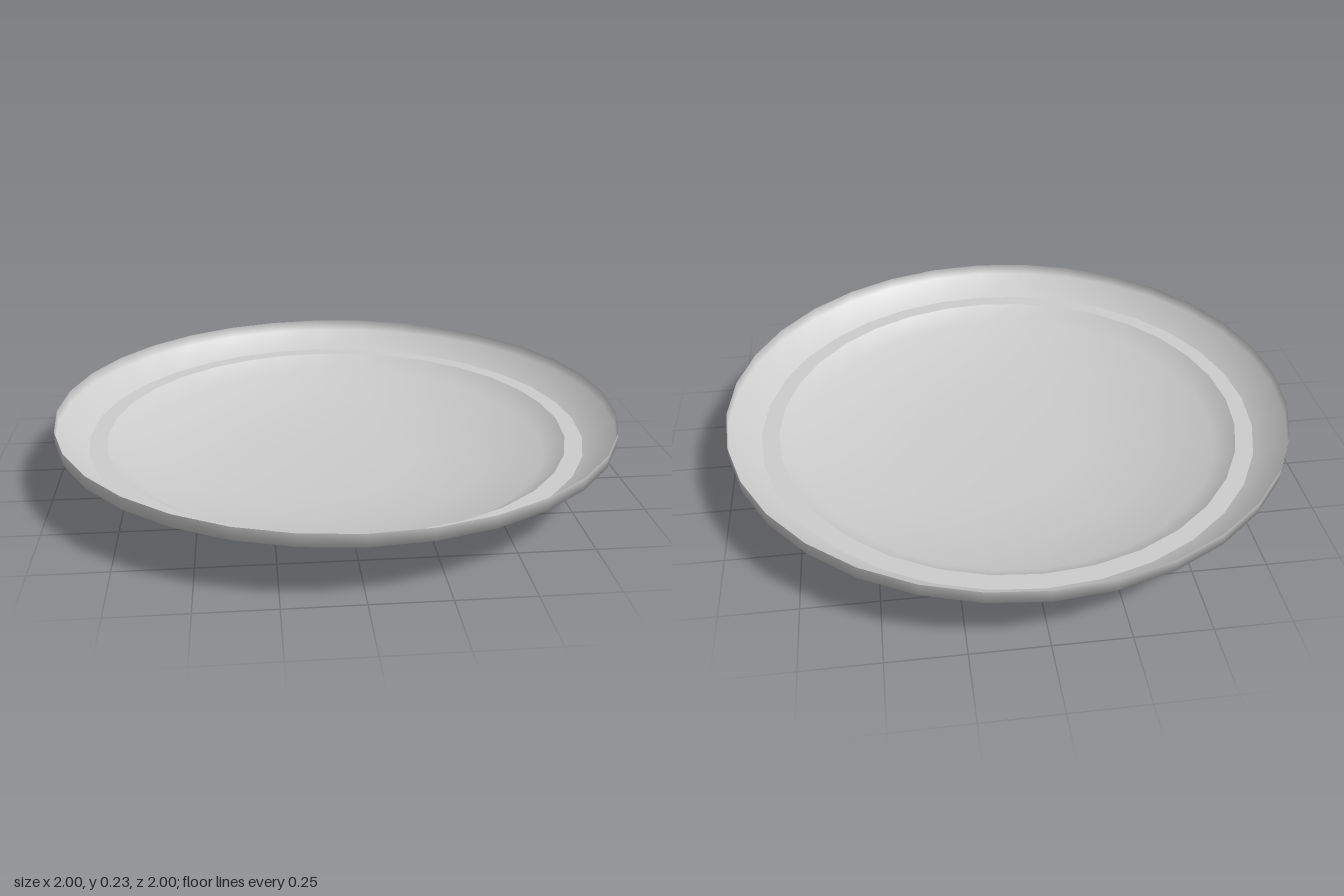
import * as THREE from 'three';

const SEGMENTS = 32;

export function createModel() {
  const group = new THREE.Group();
  group.name = 'plate';
  const material = new THREE.MeshStandardMaterial({ color: 0xcccccc, side: THREE.DoubleSide });

  // Thin round shell turned from a radius/height profile
  const addShell = (name, profile) => {
    const points = profile.map(([r, y]) => new THREE.Vector2(r, y));
    const mesh = new THREE.Mesh(new THREE.LatheGeometry(points, SEGMENTS), material);
    mesh.name = name;
    group.add(mesh);
  };

  // Shallow dished centre with a flat base
  addShell('dish', [[0, 0], [0.31, 0], [0.54, 0.03], [0.755, 0.08], [0.828, 0.13]]);
  // Flat step around the dish
  addShell('ledge', [[0.828, 0.13], [0.89, 0.13]]);
  // Flared rim ending in a short upright lip
  addShell('rim', [[0.89, 0.13], [1, 0.187], [1, 0.23]]);

  return group;
}
